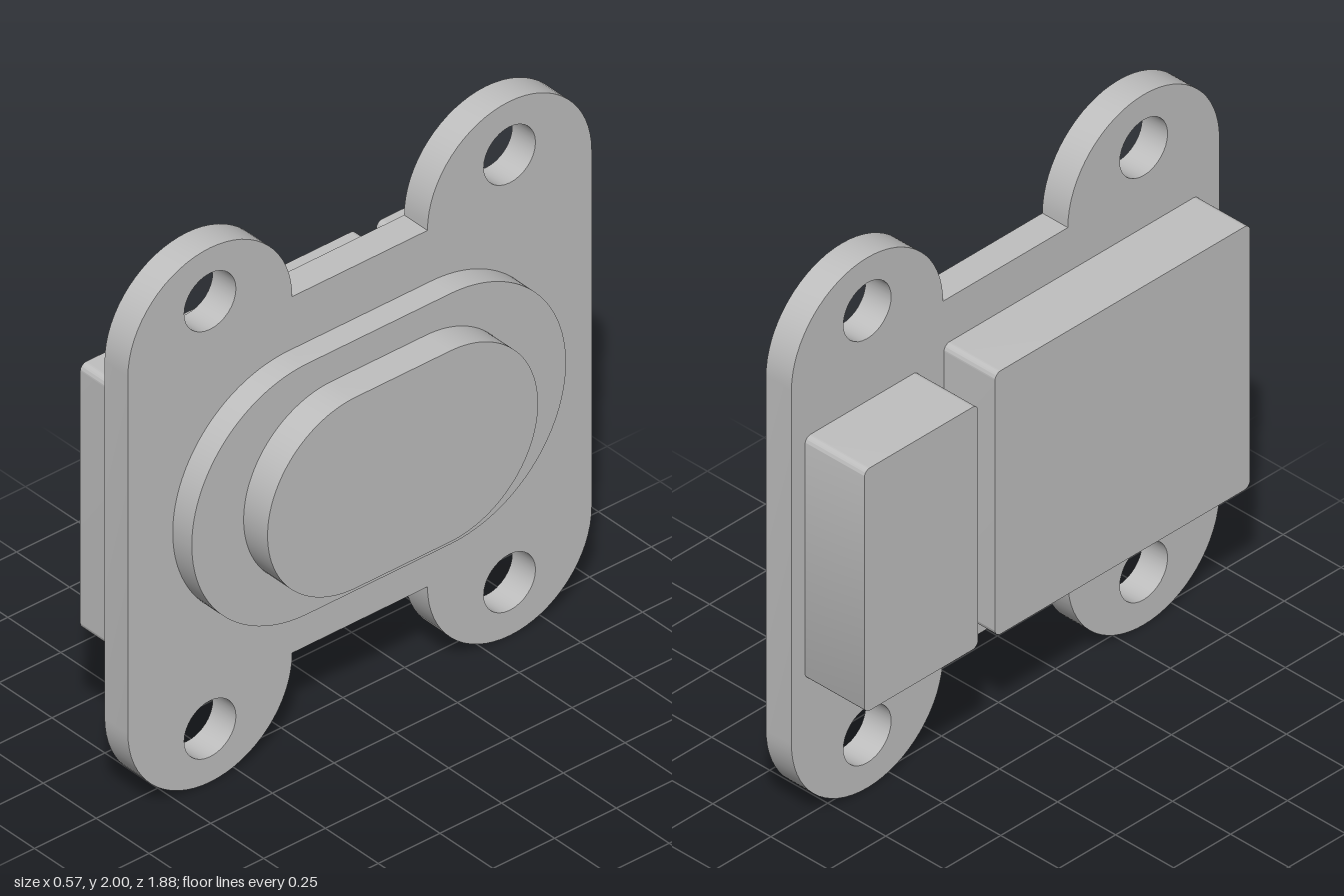
import * as THREE from 'three';
import { toCreasedNormals } from 'three/addons/utils/BufferGeometryUtils.js';

const metal = new THREE.MeshStandardMaterial({ color: 0xc0c0c0 });
metal.name = 'light grey';

// Extrudes a side profile (shape x = -z, shape y = y) from x0 to x1
function slab(name, shape, x0, x1) {
  const extruded = new THREE.ExtrudeGeometry(shape, { depth: x1 - x0, bevelEnabled: false, curveSegments: 16 });
  extruded.rotateY(Math.PI / 2).translate(x0, 0, 0);
  const mesh = new THREE.Mesh(toCreasedNormals(extruded, 0.6), metal);
  mesh.name = name;
  return mesh;
}

// Rectangle with rounded corners, spanning z0..z1 and y0..y1
function roundedRect(z0, z1, y0, y1, r) {
  const a = -z1, b = -z0, s = new THREE.Shape();
  s.moveTo(a + r, y0);
  s.absarc(b - r, y0 + r, r, -Math.PI / 2, 0);
  s.absarc(b - r, y1 - r, r, 0, Math.PI / 2);
  s.absarc(a + r, y1 - r, r, Math.PI / 2, Math.PI);
  s.absarc(a + r, y0 + r, r, Math.PI, Math.PI * 1.5);
  return s;
}

// Plate with four round mounting ears and bolt holes
function plateShape() {
  const c = 0.607, r = 0.333, s = new THREE.Shape();
  s.moveTo(-c - r, r);
  s.absarc(-c, r, r, Math.PI, Math.PI * 2);
  s.absarc(c, r, r, Math.PI, Math.PI * 2);
  s.absarc(c, 2 - r, r, 0, Math.PI);
  s.absarc(-c, 2 - r, r, 0, Math.PI);
  s.closePath();
  for (const u of [-c, c]) for (const y of [0.2, 1.8]) {
    s.holes.push(new THREE.Path().absarc(u, y, 0.105, 0, Math.PI * 2, true));
  }
  return s;
}

export function createModel() {
  const model = new THREE.Group();
  model.name = 'mountingFlange';
  model.add(
    slab('flangePlate', plateShape(), -0.03, 0.08),
    // Stepped oval boss
    slab('lowerBoss', roundedRect(-0.758, 0.758, 0.533, 1.471, 0.468), 0.08, 0.17),
    slab('upperBoss', roundedRect(-0.548, 0.548, 0.645, 1.36, 0.357), 0.17, 0.283),
    // Two blocks on the reverse
    slab('narrowBlock', roundedRect(-0.88, -0.38, 0.545, 1.46, 0.025), -0.285, -0.03),
    slab('wideBlock', roundedRect(-0.27, 0.85, 0.507, 1.5, 0.025), -0.25, -0.03),
  );
  return model;
}
